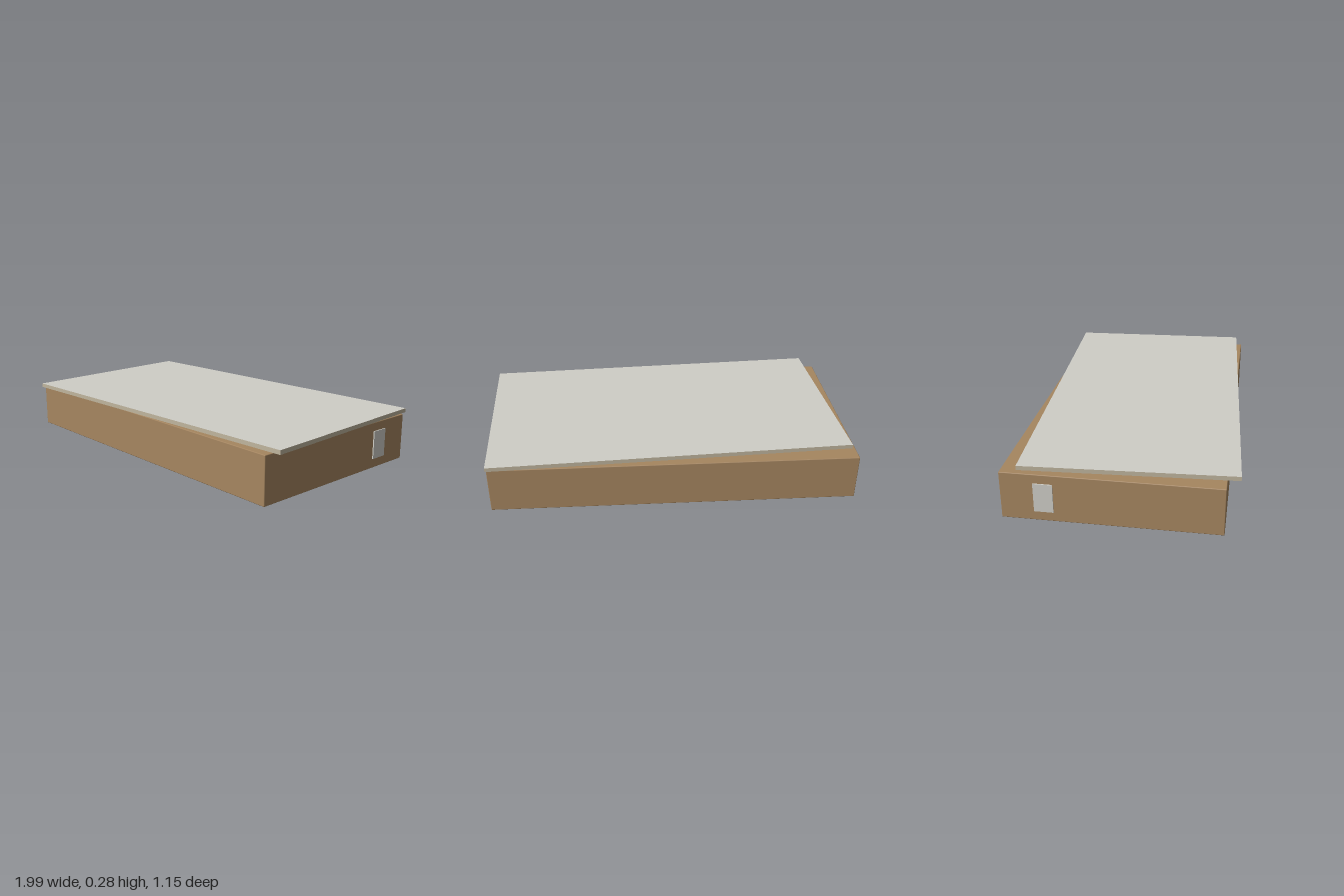
import * as THREE from 'three';
import { RoundedBoxGeometry } from 'three/addons/geometries/RoundedBoxGeometry.js';

const material = (name, color) => {
  const m = new THREE.MeshStandardMaterial({ color });
  m.name = name;
  return m;
};

export function createModel() {
  const model = new THREE.Group();
  model.name = 'boxWithLid';

  const cardboard = material('brown cardboard', 0xa68660);
  const paleGrey = material('pale grey', 0xcfcec7);
  const lidEdge = material('warm grey edge', 0xc0b59e);

  const add = (name, geometry, mat, x, y, z) => {
    const mesh = new THREE.Mesh(geometry, mat);
    mesh.name = name;
    mesh.position.set(x, y, z);
    model.add(mesh);
    return mesh;
  };

  // Shallow closed box with finely softened edges
  const width = 1.93, height = 0.248, depth = 1.07, centreX = -0.025;
  add('box', new RoundedBoxGeometry(width, height, depth, 1, 0.004),
    cardboard, centreX, height / 2, -0.025);

  // Thin label plate on each end, towards the back
  for (const side of [1, -1]) {
    add(side > 0 ? 'leftEndPlate' : 'rightEndPlate',
      new THREE.BoxGeometry(0.008, 0.15, 0.095), paleGrey,
      centreX + side * (width / 2 + 0.002), 0.126, -0.348);
  }

  // Flat lid lying slightly askew: pale top, warmer edges and underside
  const lid = add('lid', new THREE.BoxGeometry(1.915, 0.022, 1.052),
    [lidEdge, lidEdge, paleGrey, lidEdge, lidEdge, lidEdge], 0.013, 0.266, -0.003);
  lid.rotation.y = THREE.MathUtils.degToRad(3);

  return model;
}
